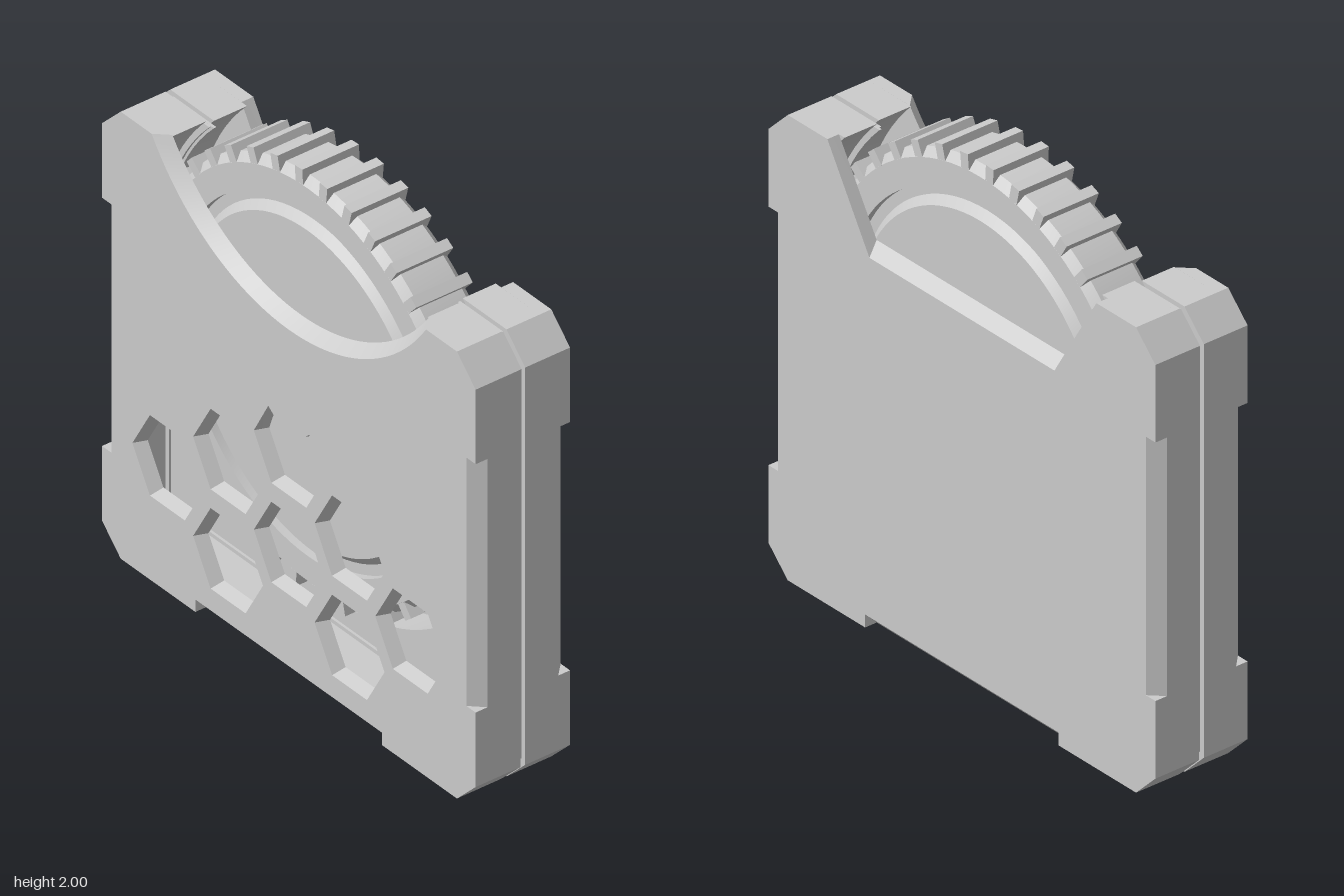
import * as THREE from 'three';
import { mergeGeometries, toCreasedNormals } from 'three/addons/utils/BufferGeometryUtils.js';

const mat = new THREE.MeshStandardMaterial({ color: 0xcccccc, side: THREE.DoubleSide });
const WHEEL_Y = 1.15;

function mesh(name, geometry) {
  const m = new THREE.Mesh(geometry, mat);
  m.name = name;
  return m;
}

// Points along an arc, angles in degrees
function arc(cx, cy, r, a0, a1, n) {
  return Array.from({ length: n + 1 }, (_, i) => {
    const a = THREE.MathUtils.degToRad(a0 + (a1 - a0) * i / n);
    return [cx + r * Math.cos(a), cy + r * Math.sin(a)];
  });
}

function cap(loops, z, flip) {
  const path = (P, l) => new P(l.map(([x, y]) => new THREE.Vector2(x, y)));
  const shape = path(THREE.Shape, loops[0]);
  shape.holes = loops.slice(1).map(l => path(THREE.Path, l));
  const g = new THREE.ShapeGeometry(shape).translate(0, 0, z);
  if (flip) g.index.array.reverse();
  const flat = g.toNonIndexed();
  flat.deleteAttribute('uv');
  flat.deleteAttribute('normal');
  return flat;
}

// Solid slab between matching loops at z0 and z1: outline runs anticlockwise, holes clockwise
function slab(low, high, z0, z1) {
  const pos = [];
  low.forEach((loop, k) => loop.forEach((p, i) => {
    const j = (i + 1) % loop.length;
    const a = [...p, z0], b = [...loop[j], z0], c = [...high[k][j], z1], d = [...high[k][i], z1];
    pos.push(...a, ...b, ...c, ...a, ...c, ...d);
  }));
  const walls = new THREE.BufferGeometry();
  walls.setAttribute('position', new THREE.Float32BufferAttribute(pos, 3));
  const g = mergeGeometries([walls, cap(low, z0, true), cap(high, z1, false)]);
  g.computeVertexNormals();
  return toCreasedNormals(g, 0.5);
}

// Chamfered case outline; top lists the opening from right to left
function outline(top, { half = 0.5, bottom = 0, side = 0 } = {}) {
  const right = [[half, bottom], [half, 0], [0.9, 0], [1, 0.1], [1, 0.4], [1 - side, 0.4],
    [1 - side, 1.4], [1, 1.4], [1, 1.7], [0.9, 1.8]];
  const left = right.map(([x, y]) => [-x, y]).reverse();
  return [...right, ...top, ...left];
}

// Hollow rim of one case half, with the seam groove and a thumbnail slot
function rim(name, cavity) {
  const g = new THREE.Group();
  g.name = name;
  const body = outline(cavity);
  const slotless = outline(cavity, { half: 0.23 });
  const slotted = outline(cavity, { half: 0.23, bottom: 0.03 });
  const inset = body.map(([x, y]) => [x * 0.98, 0.9 + (y - 0.9) * 0.98]);
  g.add(mesh('seam', slab([inset], [inset], 0, 0.01)));
  g.add(mesh('seamEdge', slab([slotted], [slotless], 0.01, 0.03)));
  g.add(mesh('rimWall', slab([body], [body], 0.03, 0.15)));
  return g;
}

// Hexagonal window, clockwise
function hexagon(x, y, r) {
  return arc(x, y, r, 0, -300, 5);
}

function createFront() {
  const g = new THREE.Group();
  g.name = 'frontHalf';
  // Cavity widens below so the windows look right through
  const right = [...arc(0, WHEEL_Y, 0.94, 43.7, -22, 20), [0.9, 0.75], [0.9, 0.14]];
  g.add(rim('frontRim', [...right, ...right.map(([x, y]) => [-x, y]).reverse()]));

  // Face plate with bevelled scoop and honeycomb windows
  const centres = [[0.325, 0.7], [-0.325, 0.7], [0, 0.5], [0.65, 0.5], [-0.65, 0.5],
    [0.325, 0.3], [-0.325, 0.3]];
  const plate = (scoopR, hexR, bossR, cut) => {
    const a = THREE.MathUtils.radToDeg(Math.asin(0.485 / scoopR));
    const scoop = arc(0, 2.285, scoopR, -a, -180 + a, 40);
    const h = hexagon(0, 0.9, hexR);
    // Top window is trimmed by the axle boss
    const trimmed = [h[0], h[1], h[2], h[3], ...arc(0, WHEEL_Y, bossR, -135, -45, 12)];
    return [outline(scoop, { bottom: cut, side: cut }), trimmed,
      ...centres.map(([x, y]) => hexagon(x, y, hexR))];
  };
  g.add(mesh('frontPlate', slab(plate(0.84, 0.168, 0.17, 0), plate(0.88, 0.187, 0.155, 0.05), 0.15, 0.2)));

  const boss = new THREE.CylinderGeometry(0.17, 0.17, 0.03, 40).rotateX(Math.PI / 2);
  g.add(mesh('axleBoss', boss.translate(0, WHEEL_Y, 0.135)));
  return g;
}

function createBack() {
  const g = new THREE.Group();
  g.name = 'backHalf';
  g.add(rim('backRim', arc(0, WHEEL_Y, 0.93, 44.3, -224.3, 72)));

  // Plate with a straight-sided opening and a sloping sill
  const opening = (x, y) => [[0.695, 1.8], [x, y], [-x, y], [-0.695, 1.8]];
  g.add(mesh('backPlate', slab([outline(opening(0.5, 1.48))],
    [outline(opening(0.478, 1.44), { bottom: 0.05, side: 0.05 })], 0.15, 0.2)));

  // Posts either side of the wheel
  for (const s of [-1, 1]) {
    const post = new THREE.CylinderGeometry(0.075, 0.075, 0.18, 28).rotateX(Math.PI / 2);
    g.add(mesh('post', post.translate(s * 0.67, 0.5, 0.06)));
  }
  g.rotation.y = Math.PI;
  return g;
}

function createWheel() {
  const g = new THREE.Group();
  g.name = 'thumbWheel';
  // Disc with a ring groove on both faces and bevelled edge
  const half = [[0, 0.12], [0.62, 0.12], [0.65, 0.09], [0.69, 0.09], [0.69, 0.12], [0.79, 0.12], [0.82, 0.09]];
  const profile = [...half.map(([r, z]) => [r, -z]), ...[...half].reverse()];
  const disc = new THREE.LatheGeometry(profile.map(([r, z]) => new THREE.Vector2(r, z)), 96);
  g.add(mesh('wheelDisc', toCreasedNormals(disc.rotateX(Math.PI / 2), 0.4)));

  // Grip teeth
  const count = 40;
  const tooth = new THREE.BoxGeometry(0.04, 0.06, 0.24).translate(0, 0.82, 0);
  for (let i = 0; i < count; i++) {
    const t = mesh('gripTooth', tooth);
    t.rotation.z = -(i / count) * Math.PI * 2 - 0.1;
    g.add(t);
  }
  g.position.y = WHEEL_Y;
  return g;
}

export function createModel() {
  const model = new THREE.Group();
  model.name = 'wheelCase';
  model.add(createFront(), createBack(), createWheel());
  return model;
}
